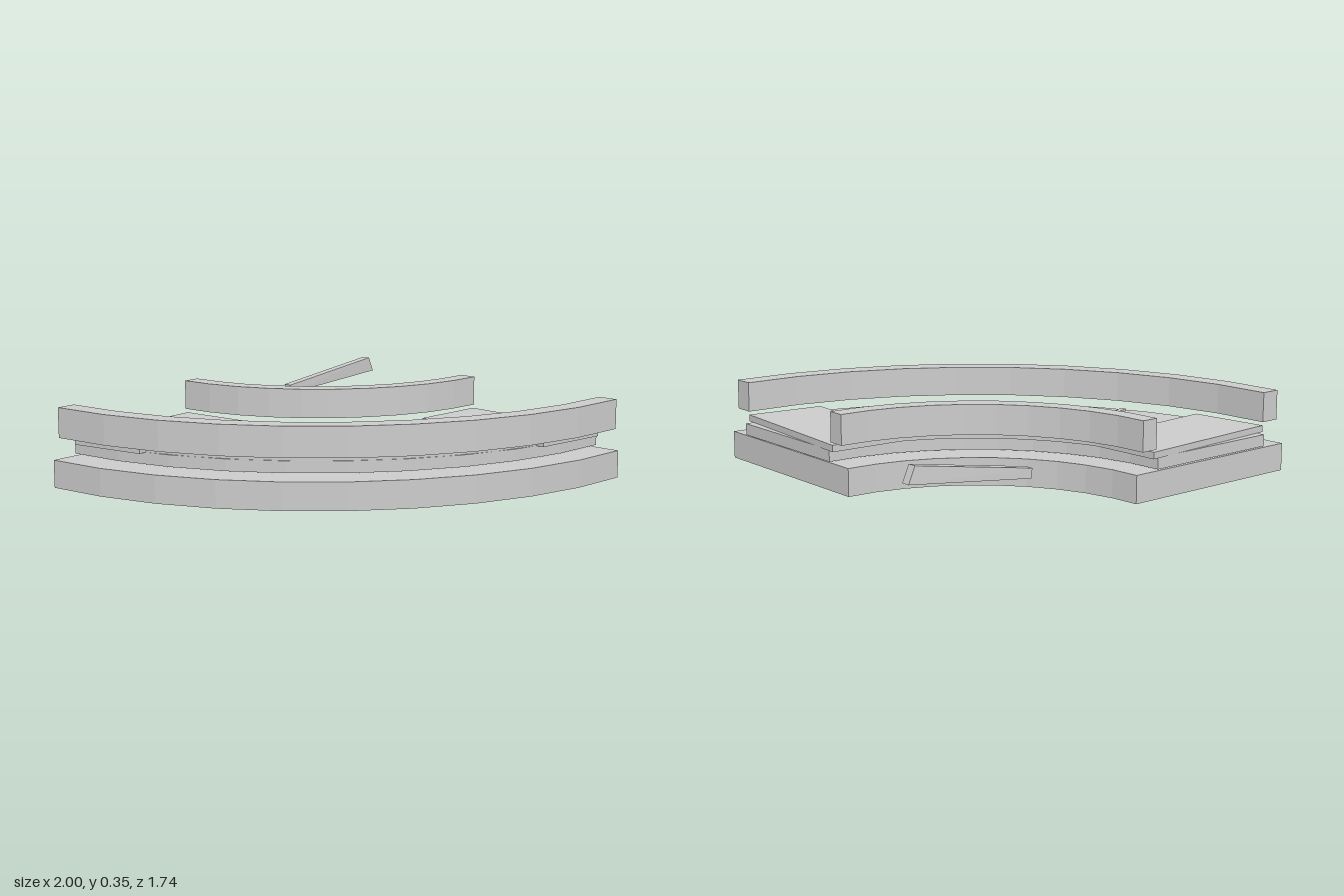
import * as THREE from 'three';

const material = new THREE.MeshStandardMaterial({ color: 0xcccccc, flatShading: true });

// Upright slab from a plan outline of [x, z] points
function slab(name, outline, bottom, top) {
  const shape = new THREE.Shape(outline.map(([x, z]) => new THREE.Vector2(x, z)));
  const geometry = new THREE.ExtrudeGeometry(shape, { depth: top - bottom, bevelEnabled: false });
  geometry.rotateX(Math.PI / 2).translate(0, top, 0);
  const mesh = new THREE.Mesh(geometry, material);
  mesh.name = name;
  return mesh;
}

// Plan outline of a faceted ring sector, angles in degrees from +x towards +z
function sector(cx, cz, inner, outer, from = 90, to = 180, segments = 10) {
  const arc = (r) => Array.from({ length: segments + 1 }, (_, i) => {
    const a = THREE.MathUtils.degToRad(from + ((to - from) * i) / segments);
    return [cx + r * Math.cos(a), cz + r * Math.sin(a)];
  });
  return [...arc(outer), ...arc(inner).reverse()];
}

export function createModel() {
  const model = new THREE.Group();
  model.name = 'curvedTrack';

  // Base and the two raised curbs
  model.add(slab('base', sector(0.71, -0.845, 0.83, 1.71), 0, 0.12));
  model.add(slab('outerRail', sector(0.68, -0.81, 1.59, 1.677), 0.22, 0.35));
  model.add(slab('innerRail', sector(0.74, -0.875, 0.862, 0.938), 0.22, 0.35));

  // Floating deck in two layers
  model.add(slab('lowerDeck', sector(0.72, -0.85, 0.955, 1.595), 0.127, 0.178));
  model.add(slab('upperDeck', sector(0.72, -0.85, 0.945, 1.59, 104, 166, 8), 0.178, 0.195));

  // Flat plates at both ends of the deck
  model.add(slab('rightEndPlate', [[0.385, 0.04], [0.73, 0.065], [0.68, 0.78], [0.335, 0.73]], 0.177, 0.206));
  model.add(slab('leftEndPlate', [[-0.91, -0.81], [-0.2, -0.86], [-0.175, -0.515], [-0.86, -0.465]], 0.177, 0.206));

  // Radial ribs across the deck
  const ribs = [
    [-0.685, -0.18, -0.165, -0.395],
    [-0.485, 0.125, -0.07, -0.235],
    [-0.255, 0.355, 0.1, -0.065],
    [0.05, 0.55, 0.26, 0.04],
  ];
  ribs.forEach(([x0, z0, x1, z1], i) => {
    const rib = new THREE.Mesh(new THREE.BoxGeometry(Math.hypot(x1 - x0, z1 - z0), 0.022, 0.024), material);
    rib.position.set((x0 + x1) / 2, 0.196, (z0 + z1) / 2);
    rib.rotation.y = -Math.atan2(z1 - z0, x1 - x0);
    rib.name = `rib${i + 1}`;
    model.add(rib);
  });

  // Detached tapered bar: a box with its ends moved
  const geometry = new THREE.BoxGeometry(1, 1, 1);
  const p = geometry.attributes.position;
  for (let i = 0; i < p.count; i++) {
    const right = p.getX(i) > 0;
    const up = p.getY(i) > 0;
    const side = p.getZ(i) * 0.038;
    if (right) p.setXYZ(i, up ? 0.965 : 0.995, up ? 0.325 : 0.257, -0.78 + side);
    else p.setXYZ(i, up ? 0.455 : 0.46, up ? 0.247 : 0.207, -0.845 + side);
  }
  geometry.computeVertexNormals();
  const bar = new THREE.Mesh(geometry, material);
  bar.name = 'detachedBar';
  model.add(bar);

  return model;
}
